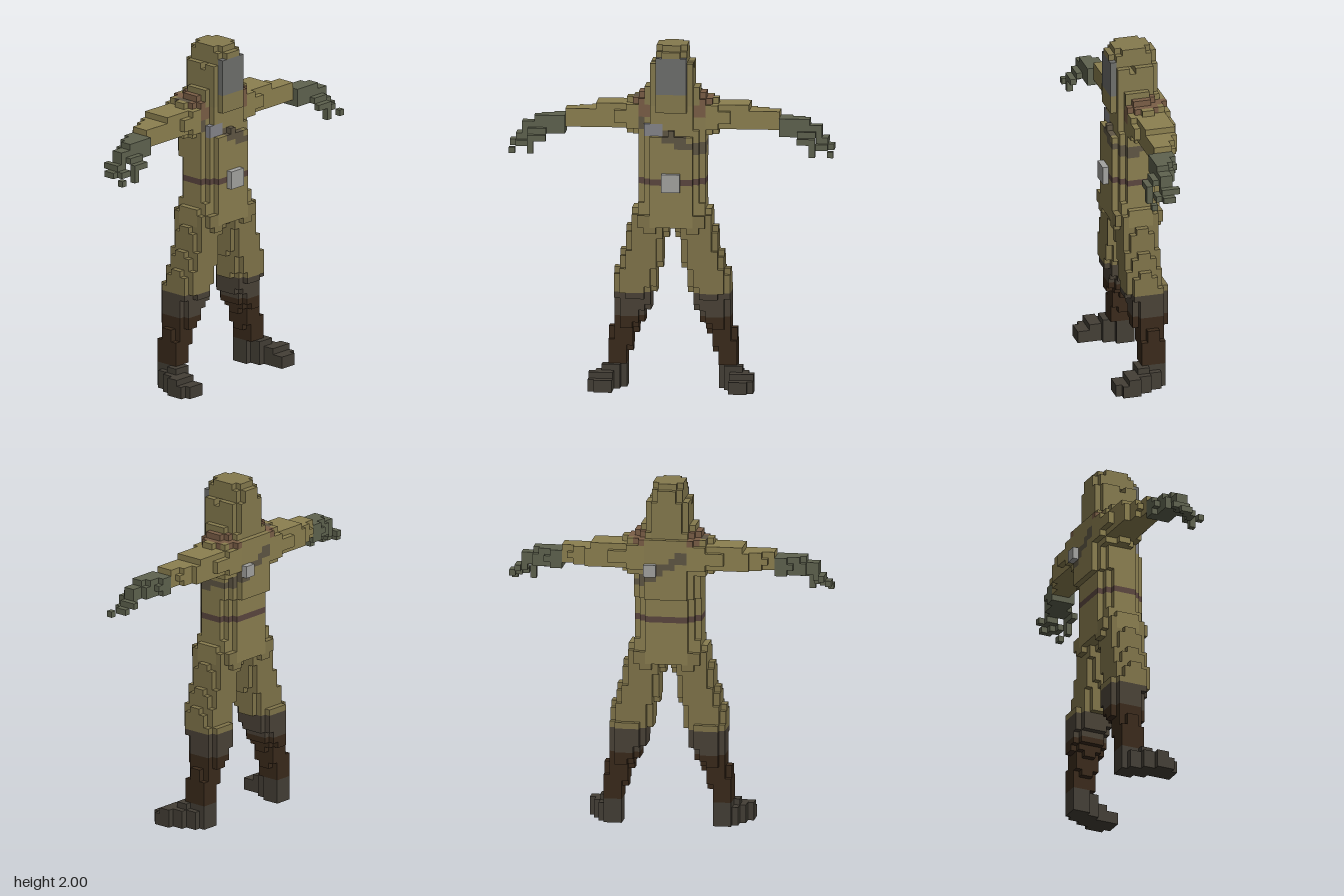
import * as THREE from 'three';

const V = 2 / 57; // block size: the figure is 57 blocks tall

const COLORS = {
  suit: 0x8a7e50, hood: 0x857a4e, mask: 0x6e6f6c, collar: 0x7a5e46, strap: 0x5f5644,
  belt: 0x5b463f, buckle: 0xa3a3a0, pad: 0x85858a, arm: 0x8c8050, glove: 0x5f634f,
  trouser: 0x80744a, bootTop: 0x4a4237, bootShaft: 0x3a2a1b, shoe: 0x443f36,
};

export function createModel() {
  const cells = new Map(); // "x,y,z" -> part name
  const key = (x, y, z) => `${x},${y},${z}`;
  const put = (x, y, z, part) => cells.set(key(x, y, z), part);
  const box = (x0, x1, y0, y1, z0, z1, part) => {
    for (let x = x0; x <= x1; x++)
      for (let y = y0; y <= y1; y++)
        for (let z = z0; z <= z1; z++) put(x, y, z, part);
  };

  // interpolate a cross-section [position, centreA, centreB, radiusA, radiusB]
  const sectionAt = (table, t) => {
    let i = 0;
    while (i < table.length - 2 && t > table[i + 1][0]) i++;
    const [a, b] = [table[i], table[i + 1]];
    const f = (t - a[0]) / (b[0] - a[0]);
    return a.map((v, n) => v + (b[n] - v) * f);
  };
  const inside = (a, b, [, ca, cb, ra, rb], n = 2.5) =>
    Math.abs((a - ca) / ra) ** n + Math.abs((b - cb) / rb) ** n <= 1.0001;

  // stack of rounded layers going up; section = centre x, centre z, radius x, radius z
  const column = (table, mirror, place) => {
    for (let y = table[0][0]; y <= table[table.length - 1][0]; y++) {
      const s = sectionAt(table, y);
      for (let x = -14; x <= 14; x++)
        for (let z = -6; z < 6; z++)
          if (inside(x * mirror, z + 0.5, s)) put(x, y, z, place(x, y, z));
    }
  };

  const legSections = [
    [4, 9, -1, 1.6, 2], [7, 8.5, -1, 2.1, 2.1], [9, 8, -1, 2.2, 2.2], [11, 7.3, -1, 2.5, 3],
    [13, 6.5, -1, 3.1, 3], [16, 6.2, -0.5, 3.4, 3.5], [18, 6, 0, 3.5, 3], [21, 5, 0, 3.5, 3],
    [24, 4.5, 0, 3.1, 3.1], [26, 3.8, 0, 3.3, 3.6], [28, 3.2, 0, 3.5, 4],
  ];
  // section along the arm = centre y, centre z, radius y, radius z
  const armSections = [
    [4, 45, -1.5, 3, 3.5], [6, 45, -1.5, 3, 3.5], [8, 45, -1.4, 2.1, 3.3], [12, 45, -1.5, 2.1, 2.6],
    [13, 44.5, -1.3, 1.7, 2.5], [17, 44.5, -0.5, 1.7, 1.8], [18, 43.5, 0, 1.7, 2.1],
    [21, 43.5, 0.5, 1.7, 1.7], [23, 43, 1, 1.3, 1.4], [24, 42.5, 1, 1.2, 1.4], [25, 41.5, 1, 0.9, 1.3],
  ];
  const fingerCells = [
    [26, 40, 0], [26, 40, 1], [25, 40, 1], [25, 41, -1], [25, 40, 2], [26, 39, 3],
    [21, 42, 2], [22, 42, 2], [23, 42, 2], [21, 41, 3], [22, 41, 3], [23, 41, 3],
    [23, 40, 3], [23, 39, 3], [24, 40, 2],
  ];

  for (const m of [1, -1]) {
    const side = m > 0 ? 'left' : 'right';
    // trousers and boots
    column(legSections, m, (x, y) => side + (y > 15 ? ':trouser' : y > 11 ? ':bootTop' : ':bootShaft'));
    // shoes, toes turned outward
    for (let y = 0; y < 4; y++) {
      for (let z = -3; z <= [5, 5, 3, 1][y]; z++) {
        const shift = (z >= 0) + (z >= 2);
        const trim = z === -3 || z === 5 || y === 3 ? 1 : 0;
        for (let x = 8 + shift; x <= 11 + shift - trim; x++) put(x * m, y, z, side + ':shoe');
      }
    }
    // arms and gloves
    for (let x = 4; x <= 25; x++) {
      const s = sectionAt(armSections, x);
      for (let y = 39; y < 50; y++)
        for (let z = -6; z < 6; z++)
          if (inside(y + 0.5, z + 0.5, s)) put(x * m, y, z, side + (x > 17 ? ':glove' : ':arm'));
    }
    for (const [x, y, z] of fingerCells) put(x * m, y, z, side + ':glove');
  }

  // torso with belt, diagonal strap and shoulder patches
  column([
    [27, 0, 0, 6.5, 4], [29, 0, 0, 6.3, 4], [31, 0, 0, 5.6, 4], [37, 0, 0, 5.6, 4],
    [38, 0, -0.5, 5.6, 4.5], [41, 0, -0.5, 5.7, 4.5], [43, 0, -1, 6.1, 4], [46, 0, -1, 6.6, 4],
    [47, 0, -1.2, 6.6, 3.8], [48, 0, -0.5, 5.6, 3.5],
  ], 1, (x, y, z) => {
    if (y === 34) return ':belt';
    const line = z >= 0 ? 41.3 - 0.4 * x : 43 - 0.6 * x;
    if (y > 38 && Math.abs(y - line) < 0.9) return ':strap';
    return y > 44 && Math.abs(x) > 3 ? ':collar' : ':suit';
  });

  // hood, open gap beside the face, and mask
  column([
    [47, 0, -0.2, 4.6, 3.8], [49, 0, 0, 4.4, 4], [50, 0, 0, 3.6, 4], [53, 0, 0, 3.6, 4],
    [54, 0, 0, 2.9, 4], [55, 0, 0, 2.6, 4], [56, 0, 0, 2.6, 3.2],
  ], 1, () => ':hood');
  box(-2, 2, 46, 48, 3, 3, ':hood');
  box(-2, 2, 49, 54, 3, 3, ':mask');
  for (let x = -4; x <= 4; x++) cells.delete(key(x, 53, 0));

  // buckle, chest pad and back button
  box(-1, 1, 33, 35, 4, 4, ':buckle');
  box(-4, -2, 42, 43, 2, 2, ':pad');
  box(2, 3, 42, 43, -6, -6, ':buckle');

  // outer faces of the blocks, gathered per part
  const parts = new Map();
  const quad = [[0, 0], [1, 0], [1, 1], [0, 1]];
  for (const [k, part] of cells) {
    const c = k.split(',').map(Number);
    if (!parts.has(part)) parts.set(part, { pos: [], idx: [] });
    const { pos, idx } = parts.get(part);
    for (let a = 0; a < 3; a++) {
      for (const s of [1, -1]) {
        const next = [...c];
        next[a] += s;
        if (cells.has(next.join(','))) continue;
        const base = pos.length / 3;
        for (const [u, v] of quad) {
          const p = [...c];
          p[a] += s > 0 ? 1 : 0;
          p[(a + 1) % 3] += u;
          p[(a + 2) % 3] += v;
          pos.push((p[0] - 0.5) * V, p[1] * V, p[2] * V);
        }
        const order = s > 0 ? [0, 1, 2, 0, 2, 3] : [0, 2, 1, 0, 3, 2];
        idx.push(...order.map((i) => base + i));
      }
    }
  }

  const group = new THREE.Group();
  group.name = 'blockFigure';
  for (const [part, { pos, idx }] of parts) {
    const [side, kind] = part.split(':');
    const geometry = new THREE.BufferGeometry();
    geometry.setAttribute('position', new THREE.Float32BufferAttribute(pos, 3));
    geometry.setIndex(idx);
    geometry.computeVertexNormals();
    const material = new THREE.MeshStandardMaterial({ color: COLORS[kind], flatShading: true });
    const mesh = new THREE.Mesh(geometry, material);
    mesh.name = side ? side + kind[0].toUpperCase() + kind.slice(1) : kind;
    group.add(mesh);
  }
  return group;
}
